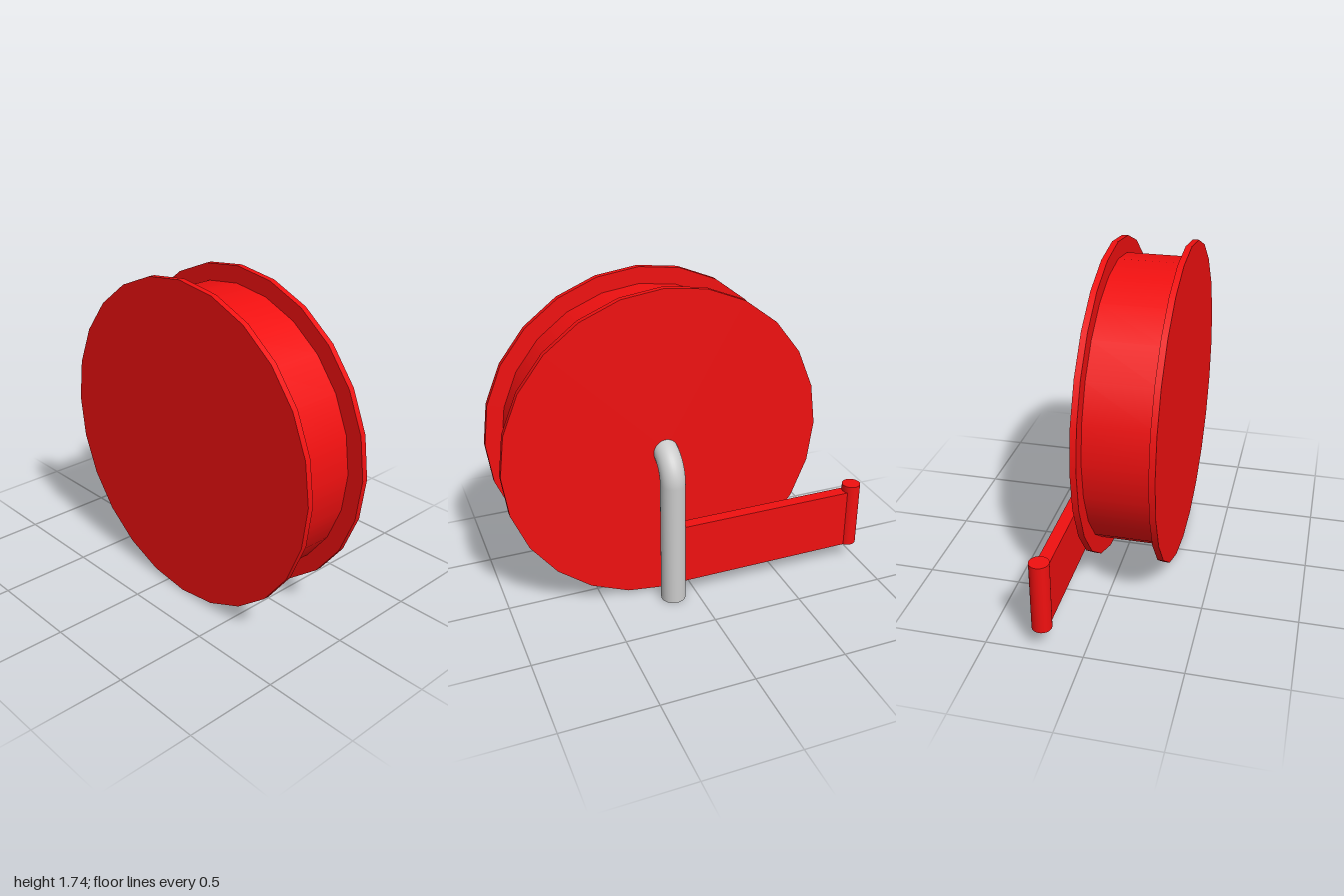
import * as THREE from 'three';

export function createModel() {
  const model = new THREE.Group();
  const red = new THREE.MeshStandardMaterial({ color: 0xf01010 });
  const grey = new THREE.MeshStandardMaterial({ color: 0xcccccc });

  function add(parent, name, geometry, material, x = 0, y = 0, z = 0) {
    const mesh = new THREE.Mesh(geometry, material);
    mesh.name = name;
    mesh.position.set(x, y, z);
    parent.add(mesh);
    return mesh;
  }

  // Hose reel: a drum between two flanges, its axis along x
  const reel = new THREE.Group();
  reel.name = 'reel';
  reel.position.set(0, 0.868, 0.132);
  model.add(reel);
  const disc = (radius, width) =>
    new THREE.CylinderGeometry(radius, radius, width, 24).rotateZ(Math.PI / 2);
  add(reel, 'drum', disc(0.778, 0.36), red, -0.085);
  add(reel, 'leftFlange', disc(0.868, 0.032), red, 0.105);
  add(reel, 'rightFlange', disc(0.868, 0.032), red, -0.275);

  // Supply pipe: upright, then a quarter bend into the hub
  const pipeX = 0.22, pipeZ = 0.132, pipeR = 0.067, bendR = 0.15, bendY = 0.71;
  const pipe = new THREE.Group();
  pipe.name = 'pipe';
  model.add(pipe);
  add(pipe, 'uprightPipe', new THREE.CylinderGeometry(pipeR, pipeR, bendY, 32),
    grey, pipeX, bendY / 2, pipeZ);
  add(pipe, 'pipeBend', new THREE.TorusGeometry(bendR, pipeR, 32, 16, Math.PI / 2),
    grey, pipeX - bendR, bendY, pipeZ);

  // Swing arm: a flat plate from the pipe to the hinge post
  const armFront = 0.12, armBack = -0.95;
  add(model, 'swingArm', new THREE.BoxGeometry(0.066, 0.342, armFront - armBack),
    red, pipeX, 0.279, (armFront + armBack) / 2);
  add(model, 'hingePost', new THREE.CylinderGeometry(0.051, 0.051, 0.38, 32),
    red, pipeX, 0.298, -0.949);

  return model;
}
